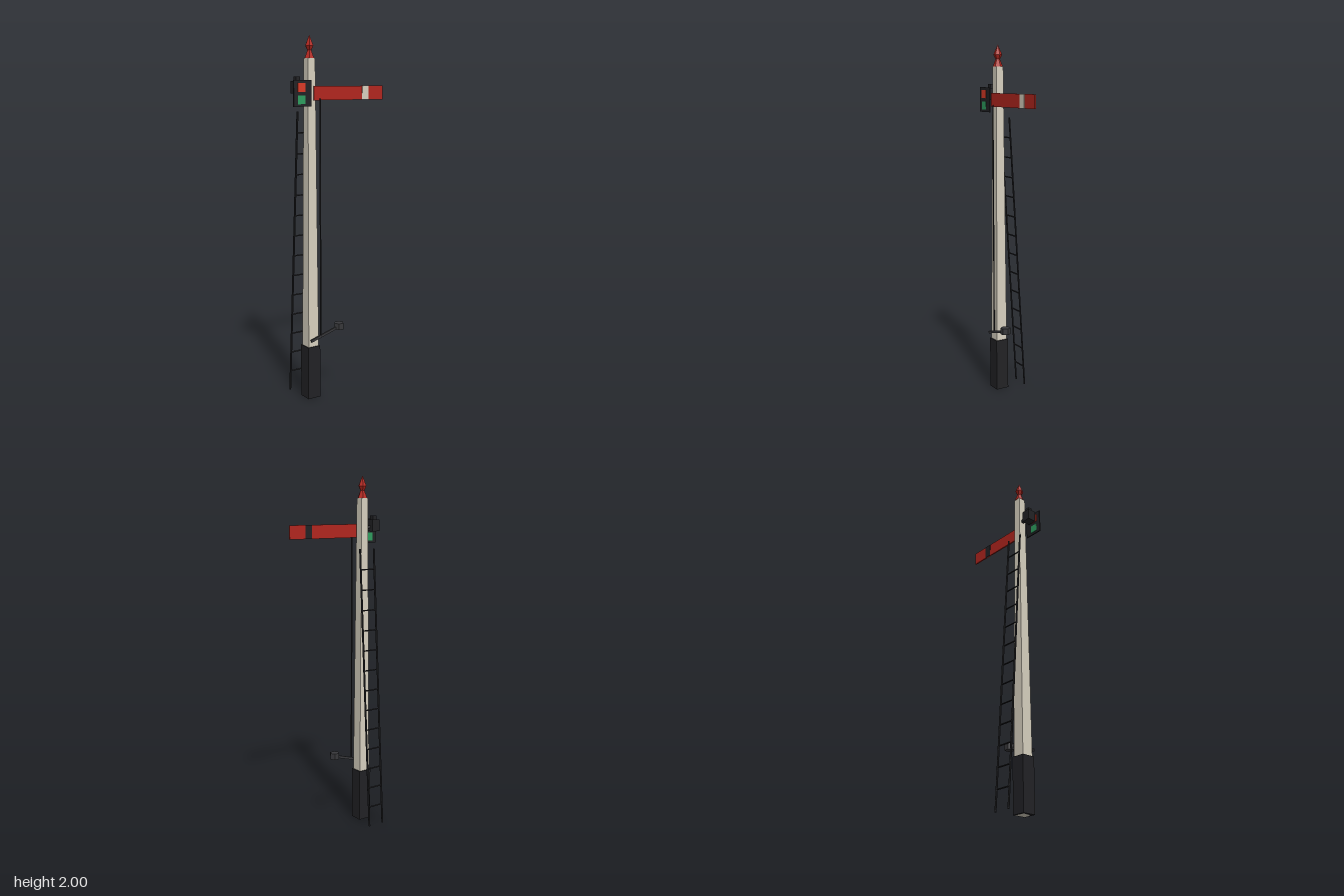
import * as THREE from 'three';

const paint = (color) => new THREE.MeshStandardMaterial({ color, flatShading: true });

export function createModel() {
  const model = new THREE.Group();
  model.name = 'semaphoreSignal';
  const cream = paint(0xd8d1c0), red = paint(0xb3261e), black = paint(0x222225), grey = paint(0x38383b);
  const lensRed = paint(0xdb3a26), lensGreen = paint(0x2e9e5f);
  const px = -0.165, pz = 0.038;

  const add = (name, geometry, material, x = 0, y = 0, z = 0) => {
    const mesh = new THREE.Mesh(geometry, material);
    mesh.name = name;
    mesh.position.set(x, y, z);
    model.add(mesh);
    return mesh;
  };
  // box given by its limits on each axis
  const block = (name, material, x0, x1, y0, y1, z0, z1) =>
    add(name, new THREE.BoxGeometry(x1 - x0, y1 - y0, z1 - z0), material,
      (x0 + x1) / 2, (y0 + y1) / 2, (z0 + z1) / 2);
  // round bar between two points
  const bar = (name, material, a, b, radius, sides = 6) => {
    const from = new THREE.Vector3(...a), to = new THREE.Vector3(...b);
    const dir = to.clone().sub(from);
    const mesh = add(name, new THREE.CylinderGeometry(radius, radius, dir.length(), sides), material);
    mesh.position.copy(from).add(to).multiplyScalar(0.5);
    mesh.quaternion.setFromUnitVectors(new THREE.Vector3(0, 1, 0), dir.normalize());
    return mesh;
  };

  // tapered square post on a dark base
  const post = new THREE.CylinderGeometry(0.022 * Math.SQRT2, 0.035 * Math.SQRT2, 1.88, 4);
  post.rotateY(Math.PI / 4);
  add('post', post, cream, px, 0.94, pz);
  block('postBase', black, px - 0.039, px + 0.039, 0, 0.3, pz - 0.039, pz + 0.039);

  // six-sided finial
  const finial = new THREE.LatheGeometry([
    [0, 1.88], [0.028, 1.88], [0.012, 1.92], [0.024, 1.945], [0, 2],
  ].map(([r, y]) => new THREE.Vector2(r, y)), 6);
  finial.rotateY(Math.PI / 6);
  add('finial', finial, red, px, 0, pz);

  // signal arm, pale stripe in front and dark stripe behind
  block('arm', red, -0.165, 0.289, 1.66, 1.735, 0.076, 0.084);
  block('armStripeFront', cream, 0.147, 0.19, 1.66, 1.735, 0.083, 0.086);
  block('armStripeBack', black, 0.147, 0.19, 1.66, 1.735, 0.074, 0.077);

  // spectacle plate with two lenses
  block('spectaclePlate', black, -0.29, -0.182, 1.628, 1.766, 0.0765, 0.0835);
  block('redLens', lensRed, -0.266, -0.22, 1.705, 1.75, 0.074, 0.086);
  block('greenLens', lensGreen, -0.266, -0.22, 1.641, 1.686, 0.074, 0.086);

  // lamp behind the plate
  block('lamp', black, -0.268, -0.217, 1.695, 1.76, 0.013, 0.063);
  block('lampCap', black, -0.255, -0.23, 1.76, 1.783, 0.026, 0.05);
  block('lampBracket', grey, -0.22, -0.18, 1.712, 1.728, 0.03, 0.046);

  // operating rod, lever and counterweight
  bar('operatingRod', black, [-0.131, 0.355, 0.09], [-0.131, 1.67, 0.09], 0.004);
  const lever = add('lever', new THREE.BoxGeometry(0.193, 0.014, 0.01), grey, -0.1, 0.367, 0.088);
  lever.rotation.z = Math.atan2(0.055, 0.185);
  const weight = new THREE.CylinderGeometry(0.028, 0.028, 0.036, 6);
  weight.rotateY(Math.PI / 6);
  add('counterweight', weight, grey, -0.007, 0.398, 0.087);

  // leaning ladder
  const ladderZ = (y) => -0.109 + 0.102 * y / 1.6;
  for (const side of [-1, 1]) {
    const x = px + side * 0.048;
    bar('ladderRail', black, [x, 0, ladderZ(0)], [x, 1.6, ladderZ(1.6)], 0.0055);
  }
  for (let i = 1; i <= 13; i++) {
    const y = i * 1.6 / 14;
    bar('ladderRung', black, [px - 0.048, y, ladderZ(y)], [px + 0.048, y, ladderZ(y)], 0.004);
  }
  return model;
}
